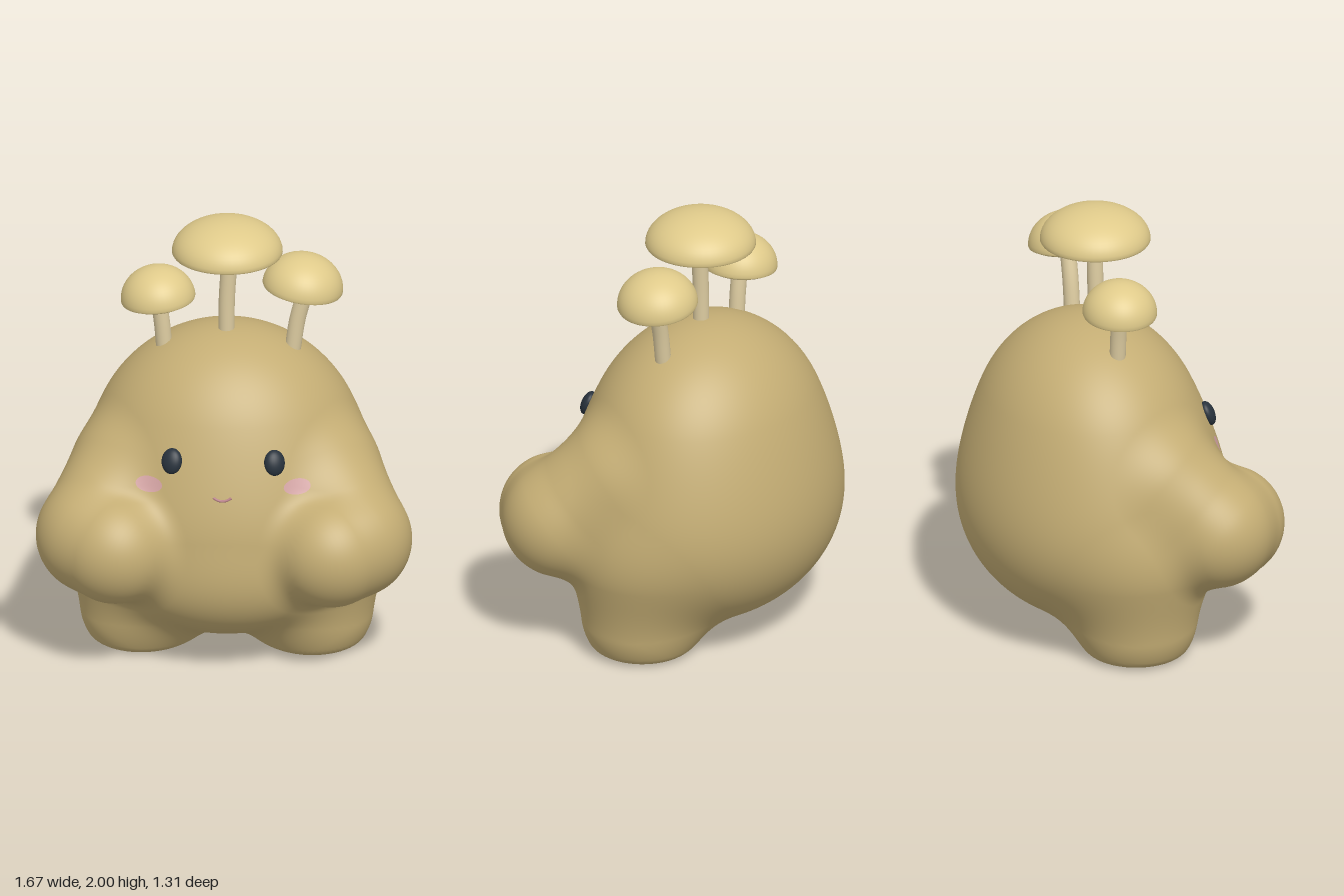
import * as THREE from 'three';

const mat = (name, color) => {
  const m = new THREE.MeshStandardMaterial({ color });
  m.name = name;
  return m;
};
const V = (x, y, z) => new THREE.Vector3(x, y, z);

// ---- soft body as a smooth union of simple volumes (one half, mirrored) ----
const smin = (a, b, k) => {
  const h = Math.max(k - Math.abs(a - b), 0) / k;
  return Math.min(a, b) - h * h * k * 0.25;
};

// capsule whose radius runs from ra to rb
function capsule(p, a, b, ra, rb) {
  const ab = b.clone().sub(a), ap = p.clone().sub(a);
  const t = THREE.MathUtils.clamp(ap.dot(ab) / ab.lengthSq(), 0, 1);
  return ap.addScaledVector(ab, -t).length() - (ra + (rb - ra) * t);
}

function ellipsoid(p, c, r) {
  const q = p.clone().sub(c).divide(r);
  const k0 = q.length(), k1 = q.divide(r).length();
  return k0 * (k0 - 1) / k1;
}

const HEAD = [V(0, 0.85, -0.075), V(0.615, 0.632, 0.52)];
const BELLY = [V(0, 0.57, -0.05), V(0.68, 0.49, 0.575)];
const TUMMY = [V(0, 0.45, 0.2), V(0.48, 0.3, 0.335)];
const SHOULDER = V(0.435, 0.835, 0.1), HAND = V(0.57, 0.625, 0.31), TIP = V(0.48, 0.605, 0.4);
const HIP = V(0.41, 0.45, 0), FOOT = V(0.38, 0.17, 0.005);

function field(point) {
  const p = V(Math.abs(point.x), point.y, point.z);
  const trunk = smin(ellipsoid(p, ...HEAD), ellipsoid(p, ...BELLY), 0.22);
  const torso = smin(trunk, ellipsoid(p, ...TUMMY), 0.08);
  const arm = smin(capsule(p, SHOULDER, HAND, 0.258, 0.257), capsule(p, HAND, TIP, 0.257, 0.253), 0.03);
  const leg = capsule(p, HIP, FOOT, 0.278, 0.272);
  const d = smin(smin(torso, leg, 0.16), arm, 0.1);
  return -smin(-d, p.y, 0.04); // flat soles
}

function gradient(p) {
  const e = 0.003, g = V(0, 0, 0);
  for (const axis of ['x', 'y', 'z']) {
    const a = p.clone(), b = p.clone();
    a[axis] += e;
    b[axis] -= e;
    g[axis] = field(a) - field(b);
  }
  return g.normalize();
}

// walk from a start point along a direction until the skin is reached
function toSkin(start, dir) {
  const p = start.clone();
  for (let i = 0; i < 120; i++) {
    const d = field(p);
    if (Math.abs(d) < 0.0002) break;
    p.addScaledVector(dir, d * 0.75);
  }
  return p;
}
const onFace = (x, y) => toSkin(V(x, y, 1), V(0, 0, -1));

function bodyGeometry() {
  const geo = new THREE.SphereGeometry(1, 240, 180);
  const pos = geo.attributes.position, nor = geo.attributes.normal;
  const centre = V(0, 0.6, 0.03);
  for (let i = 0; i < pos.count; i++) {
    const dir = V().fromBufferAttribute(pos, i).normalize();
    const p = toSkin(centre.clone().addScaledVector(dir, 1.4), dir.clone().negate());
    const n = gradient(p);
    pos.setXYZ(i, p.x, Math.max(p.y, 0), p.z);
    nor.setXYZ(i, n.x, n.y, n.z);
  }
  return geo;
}

// thin oval that follows the skin
function patchGeometry(cx, cy, rx, ry) {
  const geo = new THREE.RingGeometry(0, 1, 32, 6);
  const pos = geo.attributes.position, nor = geo.attributes.normal;
  for (let i = 0; i < pos.count; i++) {
    const p = onFace(cx + pos.getX(i) * rx, cy + pos.getY(i) * ry);
    const n = gradient(p);
    p.addScaledVector(n, 0.005);
    pos.setXYZ(i, p.x, p.y, p.z);
    nor.setXYZ(i, n.x, n.y, n.z);
  }
  return geo;
}

// domed cap with a shallow underside and a crisp rim
function capGeometry(r, h) {
  const pts = [[0, -0.02], [r * 0.5, -0.018], [r * 0.85, -0.011], [r * 0.98, 0], [r * 0.98, 0]]
    .map(([x, y]) => new THREE.Vector2(x, y));
  for (let i = 0; i <= 16; i++) {
    const a = (i / 16) * Math.PI / 2;
    pts.push(new THREE.Vector2(i === 16 ? 0 : r * Math.cos(a), 0.008 + (h - 0.008) * Math.sin(a)));
  }
  return new THREE.LatheGeometry(pts, 48);
}

export function createModel() {
  const skin = mat('tan skin', 0xc4ad74);
  const capMat = mat('pale cap', 0xdfca8a);
  const stemMat = mat('cream stem', 0xdccba0);
  const eyeMat = mat('dark eye', 0x28323c);
  const blushMat = mat('pink blush', 0xd2a2a2);
  const mouthMat = mat('rose mouth', 0xb88088);

  const model = new THREE.Group();
  const add = (name, geo, material, parent = model) => {
    const mesh = new THREE.Mesh(geo, material);
    mesh.name = name;
    parent.add(mesh);
    return mesh;
  };

  add('body', bodyGeometry(), skin);

  // eyes and cheeks
  for (const [side, s] of [['left', 1], ['right', -1]]) {
    const eye = add(side + 'Eye', new THREE.SphereGeometry(1, 32, 20), eyeMat);
    const p = onFace(s * 0.226, 1.025), n = gradient(p);
    eye.position.copy(p).addScaledVector(n, 0.006);
    eye.quaternion.setFromUnitVectors(V(0, 0, 1), n);
    eye.scale.set(0.047, 0.058, 0.03);
    add(side + 'Cheek', patchGeometry(s * 0.328, 0.915, 0.06, 0.033), blushMat);
  }

  // smile
  const smile = [];
  for (let i = -4; i <= 4; i++) {
    const t = i / 4;
    smile.push(onFace(t * 0.04, 0.875 + 0.014 * t * t).add(V(0, 0, 0.003)));
  }
  add('mouth', new THREE.TubeGeometry(new THREE.CatmullRomCurve3(smile), 24, 0.006, 8), mouthMat);

  // mushrooms: stem path in x/y, cap radius, height, tilt and position
  const z = -0.045;
  const mushrooms = [
    ['centre', [[-0.004, 1.44], [-0.002, 1.62], [0.012, 1.84]], 0.246, 0.157, 0, [0, 1.843]],
    ['right', [[-0.28, 1.385], [-0.29, 1.5], [-0.307, 1.62]], 0.166, 0.156, 0.1, [-0.306, 1.612]],
    ['left', [[0.29, 1.38], [0.312, 1.53], [0.355, 1.69]], 0.18, 0.16, -0.15, [0.333, 1.678]],
  ];
  for (const [name, path, r, h, tilt, at] of mushrooms) {
    const group = new THREE.Group();
    group.name = name + 'Mushroom';
    model.add(group);
    const curve = new THREE.CatmullRomCurve3(path.map(([x, y]) => V(x, y, z)));
    add('stem', new THREE.TubeGeometry(curve, 16, 0.036, 20), stemMat, group);
    const cap = add('cap', capGeometry(r, h), capMat, group);
    cap.position.set(at[0], at[1], z);
    cap.rotation.z = tilt;
  }
  return model;
}
